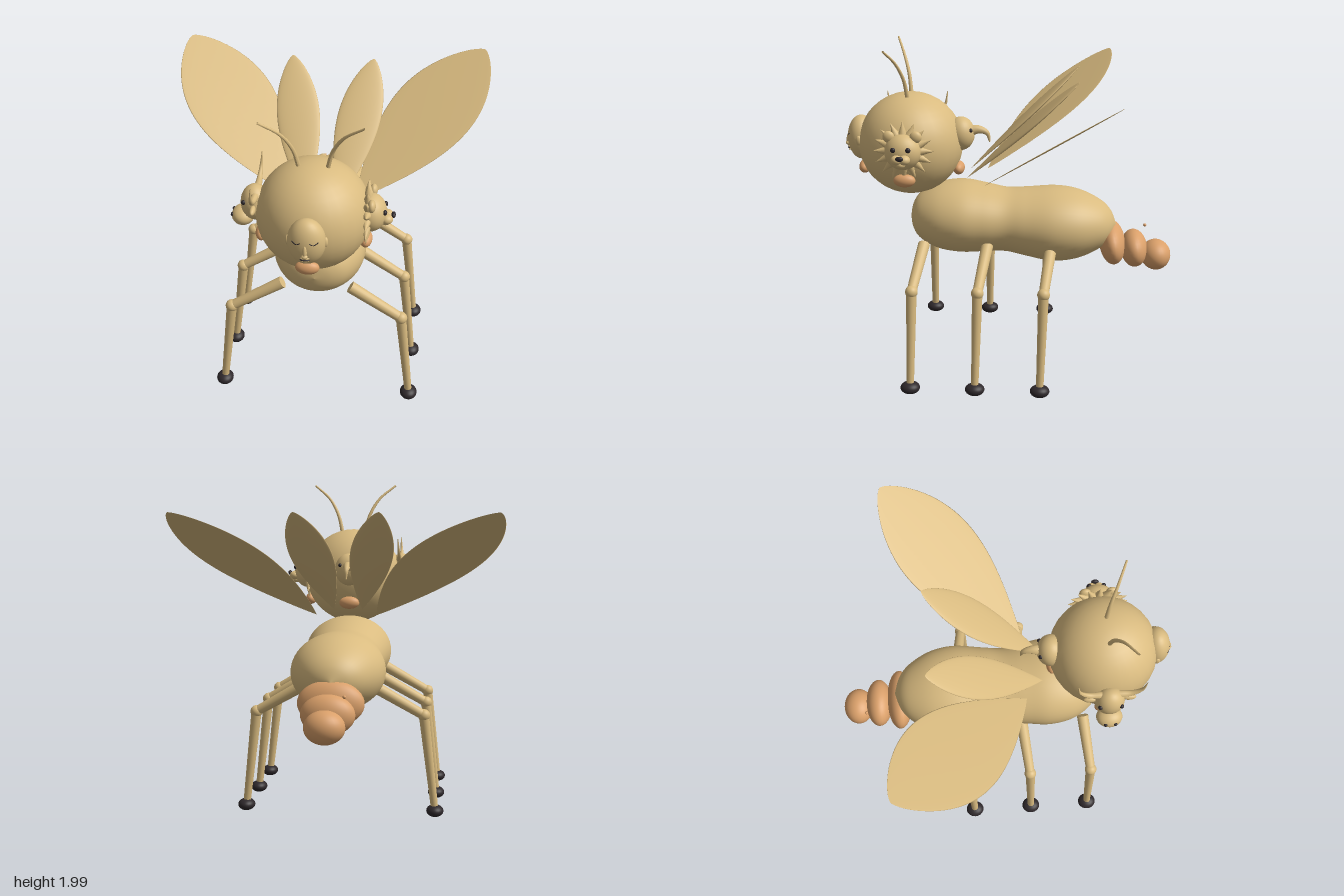
import * as THREE from 'three';
import { ParametricGeometry } from 'three/addons/geometries/ParametricGeometry.js';

const V = (x, y, z) => new THREE.Vector3(x, y, z);

export function createModel() {
  const model = new THREE.Group();
  const material = (name, color) => new THREE.MeshStandardMaterial({ name, color, side: THREE.DoubleSide });
  const tan = material('tan', 0xd9bb80);
  const orange = material('orange', 0xdaa06a);
  const dark = material('dark', 0x2e282b);

  const add = (parent, name, geometry, mat) => {
    const mesh = new THREE.Mesh(geometry, mat);
    mesh.name = name;
    parent.add(mesh);
    return mesh;
  };
  const ball = (parent, name, mat, [x, y, z], [rx, ry, rz], tilt = 0) => {
    const mesh = add(parent, name, new THREE.SphereGeometry(1, 28, 20), mat);
    mesh.position.set(x, y, z);
    mesh.scale.set(rx, ry, rz);
    mesh.rotation.x = tilt;
    return mesh;
  };
  // Straight limb between two points
  const limb = (parent, name, a, b, ra, rb) => {
    const mesh = add(parent, name, new THREE.CylinderGeometry(rb, ra, a.distanceTo(b), 18), tan);
    mesh.position.copy(a).lerp(b, 0.5);
    mesh.quaternion.setFromUnitVectors(V(0, 1, 0), b.clone().sub(a).normalize());
  };
  // Curved tube whose radius shrinks from r0 to r1
  const taper = (parent, name, points, r0, r1, mat = tan) => {
    const curve = new THREE.CatmullRomCurve3(points);
    const rows = 20, sides = 10;
    const g = new THREE.TubeGeometry(curve, rows, r0, sides);
    const p = g.attributes.position;
    for (let i = 0; i < p.count; i++) {
      const t = Math.floor(i / (sides + 1)) / rows;
      const c = curve.getPointAt(t);
      const v = V().fromBufferAttribute(p, i).sub(c).multiplyScalar(1 + (r1 / r0 - 1) * t).add(c);
      p.setXYZ(i, v.x, v.y, v.z);
    }
    g.computeVertexNormals();
    return add(parent, name, g, mat);
  };
  // Teardrop wing with a lens cross-section
  const wing = (name, root, tip, across, halfWidth, halfThick) => {
    const axis = tip.clone().sub(root);
    const dir = axis.clone().normalize();
    const w = across.clone().addScaledVector(dir, -across.dot(dir)).normalize();
    const n = dir.clone().cross(w);
    add(model, name, new ParametricGeometry((u, v, out) => {
      const t = Math.sin(u * Math.PI / 2);
      const h = Math.pow(Math.max(0, Math.sin(Math.PI * Math.pow(t, 1.3))), 0.7);
      const a = v * Math.PI * 2;
      out.copy(root).addScaledVector(axis, t)
        .addScaledVector(w, halfWidth * h * Math.cos(a))
        .addScaledVector(n, halfThick * h * Math.sin(a));
    }, 40, 32), tan);
  };

  // Two-lobed body
  const profile = new THREE.SplineCurve([
    [0, -0.655], [0.085, -0.62], [0.15, -0.55], [0.208, -0.42], [0.228, -0.27], [0.208, -0.1],
    [0.194, 0.02], [0.208, 0.15], [0.222, 0.29], [0.203, 0.43], [0.15, 0.54], [0.085, 0.592], [0, 0.612],
  ].map(p => new THREE.Vector2(...p))).getPoints(72).map(p => p.set(Math.max(0, p.x), p.y));
  const bodyGeo = new THREE.LatheGeometry(profile, 48);
  bodyGeo.rotateX(Math.PI / 2);
  const bp = bodyGeo.attributes.position;
  for (let i = 0; i < bp.count; i++) {
    const lift = 0.89 + 0.04 * THREE.MathUtils.smoothstep(bp.getZ(i), -0.3, 0.35);
    bp.setXYZ(i, bp.getX(i) * 1.23, bp.getY(i) + lift, bp.getZ(i));
  }
  bodyGeo.computeVertexNormals();
  add(model, 'body', bodyGeo, tan);

  // Tail segments and the small bead above them
  ball(model, 'tailSegment', orange, [0, 0.77, -0.635], [0.19, 0.13, 0.08], 0.12);
  ball(model, 'tailSegment', orange, [0, 0.735, -0.77], [0.152, 0.112, 0.082], 0.08);
  ball(model, 'tailSegment', orange, [0, 0.695, -0.905], [0.113, 0.093, 0.092]);
  ball(model, 'tailBead', orange, [-0.1, 0.85, -0.84], [0.01, 0.01, 0.01]);

  for (const s of [-1, 1]) {
    // Legs
    for (const z of [0.56, 0.175, -0.21]) {
      const hip = V(s * 0.2, 0.805, z - 0.05), knee = V(s * 0.505, 0.625, z - 0.015), foot = V(s * 0.575, 0.05, z);
      limb(model, 'upperLeg', hip, knee, 0.036, 0.029);
      limb(model, 'lowerLeg', knee, foot, 0.031, 0.022);
      ball(model, 'knee', tan, knee.toArray(), [0.037, 0.037, 0.037]);
      ball(model, 'foot', dark, [s * 0.577, 0.037, z], [0.052, 0.036, 0.058]);
    }
    // Wings
    wing('largeWing', V(s * 0.19, 1.175, 0.15), V(s * 0.91, 1.82, -0.615), V(s * 0.8, -0.13, 0.6), 0.27, 0.004);
    wing('smallWing', V(s * 0.09, 1.2, 0.25), V(s * 0.245, 1.82, -0.41), V(s * 0.98, -0.13, 0.12), 0.128, 0.018);
    // Antennae
    taper(model, 'antenna', [V(s * 0.075, 1.67, 0.6), V(s * 0.105, 1.79, 0.615),
      V(s * 0.165, 1.895, 0.65), V(s * 0.27, 1.985, 0.7)], 0.013, 0.006);
  }

  // Round head carrying four outward faces
  ball(model, 'head', tan, [0, 1.39, 0.6], [0.315, 0.308, 0.315]);
  const face = (name, turn) => {
    const g = new THREE.Group();
    g.name = name;
    g.position.set(0, 1.39, 0.6);
    g.rotation.y = turn;
    model.add(g);
    ball(g, 'chinPad', orange, [0, -0.155, 0.288], [0.065, 0.04, 0.036]);
    return g;
  };

  // Human face
  const human = face('humanFace', 0);
  ball(human, 'faceOval', tan, [0, 0.03, 0.302], [0.102, 0.135, 0.082]);
  ball(human, 'nose', tan, [0, 0.015, 0.382], [0.012, 0.042, 0.014], -0.12);
  ball(human, 'noseTip', tan, [0, -0.008, 0.388], [0.017, 0.012, 0.014]);
  ball(human, 'upperLip', tan, [0, -0.028, 0.376], [0.024, 0.007, 0.009]);
  ball(human, 'mouth', dark, [0, -0.035, 0.379], [0.026, 0.005, 0.009]);
  ball(human, 'lowerLip', tan, [0, -0.044, 0.375], [0.02, 0.008, 0.01]);
  for (const s of [-1, 1]) {
    taper(human, 'closedEye', [V(s * 0.022, 0.067, 0.374), V(s * 0.044, 0.056, 0.37),
      V(s * 0.068, 0.067, 0.357)], 0.005, 0.004, dark);
    ball(human, 'ear', tan, [s * 0.1, 0.03, 0.3], [0.012, 0.03, 0.018]);
  }

  // Lion face with a pointed mane
  const lion = face('lionFace', Math.PI / 2);
  for (let i = 0; i < 16; i++) {
    const a = i / 16 * Math.PI * 2;
    const spike = add(lion, 'maneSpike', new THREE.ConeGeometry(0.03, 0.09, 14), tan);
    spike.position.set(Math.sin(a) * 0.133, 0.025 + Math.cos(a) * 0.133, 0.293);
    spike.rotation.z = -a;
  }
  ball(lion, 'lionHead', tan, [0, 0.025, 0.31], [0.106, 0.106, 0.088]);
  ball(lion, 'lionNose', dark, [0, 0.016, 0.433], [0.023, 0.015, 0.012]);
  ball(lion, 'lionChin', tan, [0, -0.028, 0.392], [0.028, 0.022, 0.028]);
  for (const s of [-1, 1]) {
    ball(lion, 'lionEye', dark, [s * 0.043, 0.055, 0.388], [0.015, 0.015, 0.012]);
    ball(lion, 'lionMuzzle', tan, [s * 0.022, 0, 0.398], [0.034, 0.028, 0.034]);
    ball(lion, 'lionEar', tan, [s * 0.078, 0.115, 0.318], [0.035, 0.035, 0.022]);
  }

  // Eagle face with a hooked beak
  const eagle = face('eagleFace', Math.PI);
  ball(eagle, 'eagleHead', tan, [0, 0.06, 0.305], [0.09, 0.102, 0.083]);
  taper(eagle, 'beak', [V(0, 0.075, 0.35), V(0, 0.085, 0.41), V(0, 0.065, 0.462), V(0, 0.01, 0.478)], 0.037, 0.004);
  for (const s of [-1, 1]) {
    ball(eagle, 'eagleEye', dark, [s * 0.05, 0.09, 0.368], [0.012, 0.012, 0.012]);
  }

  // Bull face with upswept horns
  const bull = face('bullFace', -Math.PI / 2);
  ball(bull, 'bullHead', tan, [0, 0.045, 0.32], [0.085, 0.105, 0.078]);
  ball(bull, 'bullSnout', tan, [0, -0.045, 0.388], [0.075, 0.052, 0.064]);
  for (const s of [-1, 1]) {
    ball(bull, 'bullEye', dark, [s * 0.06, 0.075, 0.372], [0.013, 0.013, 0.013]);
    ball(bull, 'nostril', dark, [s * 0.028, -0.03, 0.444], [0.011, 0.011, 0.009]);
    ball(bull, 'bullEar', tan, [s * 0.11, 0.06, 0.315], [0.04, 0.02, 0.016]);
    taper(bull, 'horn', [V(s * 0.05, 0.11, 0.31), V(s * 0.12, 0.12, 0.312),
      V(s * 0.172, 0.165, 0.31), V(s * 0.19, 0.25, 0.305)], 0.022, 0.002);
  }
  return model;
}
